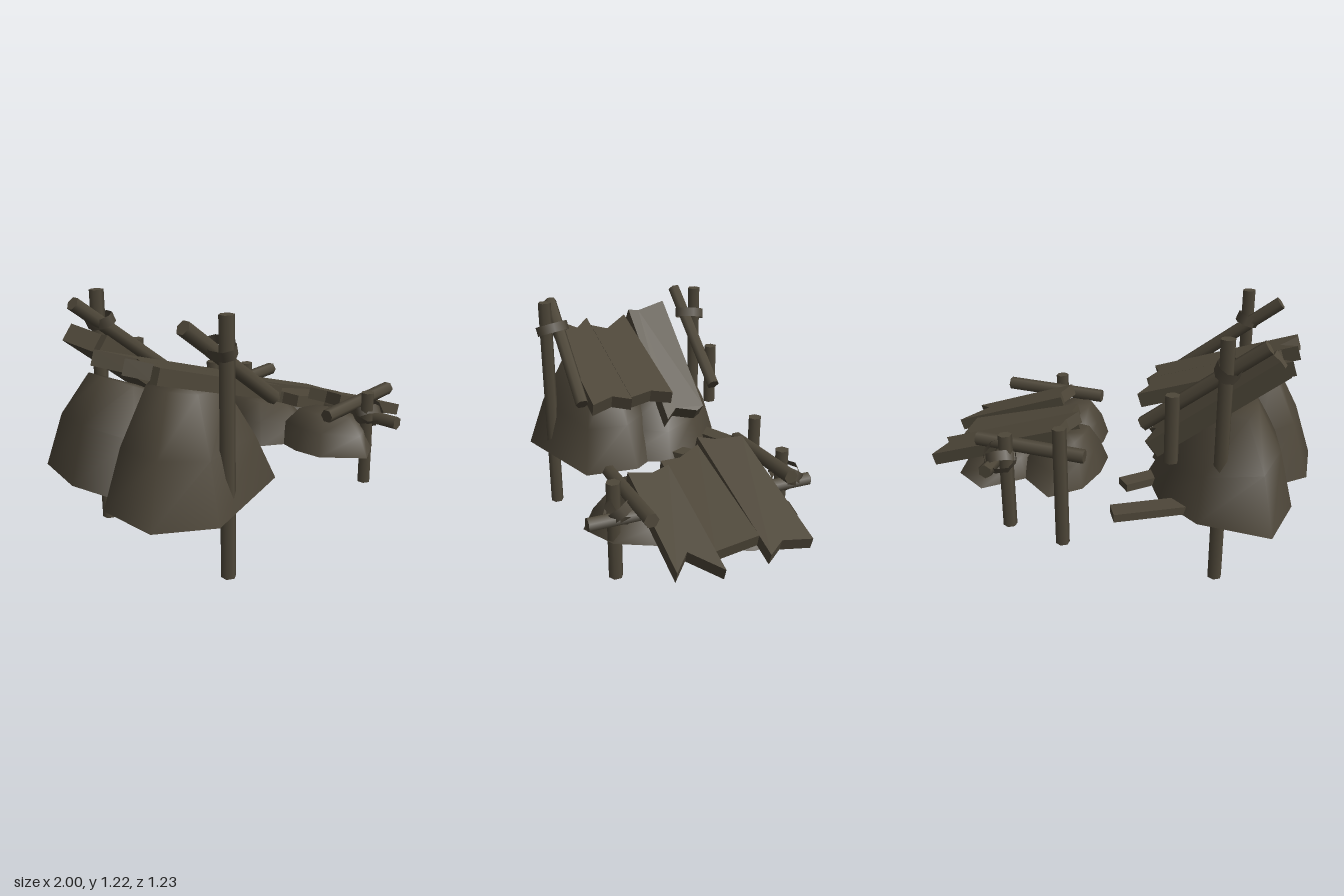
import * as THREE from 'three';

export function createModel() {
  const root = new THREE.Group();
  const wood = new THREE.MeshStandardMaterial({ color: 0x4e4739 });
  wood.name = 'weathered wood';
  const earth = new THREE.MeshStandardMaterial({ color: 0x4c4538, side: THREE.DoubleSide });
  earth.name = 'dry earth';
  const V = (p) => new THREE.Vector3(...p);

  function add(name, geometry, material = wood) {
    const mesh = new THREE.Mesh(geometry, material);
    mesh.name = name;
    root.add(mesh);
    return mesh;
  }

  // Six-sided timber between two points
  function log(name, a, b, r = 0.036) {
    const dir = V(b).sub(V(a));
    const mesh = add(name, new THREE.CylinderGeometry(r, r, dir.length(), 6));
    mesh.position.copy(V(a)).addScaledVector(dir, 0.5);
    mesh.quaternion.setFromUnitVectors(new THREE.Vector3(0, 1, 0), dir.normalize());
  }

  // Board with splintered ends: plan outline [x, z], sloping along x, ends cut square
  function plank(name, outline, x0, y0, slope, thick = 0.06) {
    const shape = new THREE.Shape(outline.map(([x, z]) => new THREE.Vector2(x, -z)));
    const g = new THREE.ExtrudeGeometry(shape, { depth: thick, bevelEnabled: false });
    g.rotateX(-Math.PI / 2);
    const p = g.attributes.position;
    for (let i = 0; i < p.count; i++) {
      const x = p.getX(i);
      const below = thick - p.getY(i);
      p.setXY(i, x + slope * below, y0 + slope * (x - x0) - below);
    }
    g.computeVertexNormals();
    add(name, g);
  }

  // Open faceted heap: base outline shrunk through rings, tilted at the top
  function mound(name, base, levels, tilt) {
    const n = base.length;
    const cx = base.reduce((s, p) => s + p[0], 0) / n;
    const cz = base.reduce((s, p) => s + p[1], 0) / n;
    const pos = [];
    const index = [];
    levels.forEach(([y, s], k) => {
      const t = (tilt * k) / (levels.length - 1);
      for (const [x, z] of base) {
        const px = cx + (x - cx) * s;
        pos.push(px, y + t * (px - cx), cz + (z - cz) * s);
      }
    });
    const top = levels.length - 1;
    pos.push(cx, levels[top][0] + 0.01, cz);
    for (let i = 0; i < n; i++) {
      const j = (i + 1) % n;
      for (let k = 0; k < top; k++) {
        const a = k * n + i, b = k * n + j;
        index.push(a, b, b + n, a, b + n, a + n);
      }
      index.push(top * n + i, top * n + j, (top + 1) * n);
    }
    const g = new THREE.BufferGeometry();
    g.setAttribute('position', new THREE.Float32BufferAttribute(pos, 3));
    g.setIndex(index);
    g.computeVertexNormals();
    add(name, g, earth);
  }

  // Flat strap wound around a post and a beam
  function lashing(name, at, rx, rz, tiltX, tiltZ) {
    const mesh = add(name, new THREE.CylinderGeometry(1, 1, 0.05, 8, 1, true), earth);
    mesh.scale.set(rx, 1, rz);
    mesh.rotation.set(tiltX, 0, tiltZ);
    mesh.position.set(...at);
  }

  // Loose board lying between two points
  function scrap(name, a, b, w, h) {
    const mesh = add(name, new THREE.BoxGeometry(w, h, V(a).distanceTo(V(b))));
    mesh.position.copy(V(a)).lerp(V(b), 0.5);
    mesh.lookAt(V(b));
  }

  // Earth heaps
  mound('tallFrontMound', [[-0.76, 0.57], [-0.2, 0.39], [-0.17, 0.1], [-0.32, -0.1], [-0.8, -0.1], [-1, 0.08], [-1, 0.4]],
    [[0.34, 1], [0.6, 0.77], [0.855, 0.45]], -0.18);
  mound('tallBackMound', [[-0.94, -0.25], [-0.87, 0.15], [-0.3, 0.18], [-0.18, -0.1], [-0.3, -0.35], [-0.52, -0.53], [-0.87, -0.57]],
    [[0.34, 1], [0.56, 0.8], [0.765, 0.48]], -0.45);
  mound('lowFrontMound', [[0.32, 0.57], [0.5, 0.48], [0.62, 0.25], [0.5, 0.02], [0.2, 0.05], [0.15, 0.23], [0.16, 0.38]],
    [[0.335, 1], [0.44, 0.82], [0.52, 0.55]], -0.15);
  mound('lowBackLeftMound', [[0.24, -0.46], [0.1, -0.33], [0.06, -0.13], [0.07, 0.05], [0.3, 0.2], [0.5, 0.05], [0.48, -0.25]],
    [[0.335, 1], [0.44, 0.8], [0.53, 0.55]], -0.2);
  mound('lowBackRightMound', [[0.45, 0.1], [0.7, 0.12], [0.81, -0.1], [0.78, -0.33], [0.6, -0.46], [0.42, -0.3], [0.38, -0.1]],
    [[0.335, 1], [0.42, 0.82], [0.475, 0.55]], -0.25);

  // Tall side: posts, sloping beams and straps
  for (const [side, zp, zb] of [['front', 0.465, 0.39], ['back', -0.43, -0.38]]) {
    log(side + 'TallPost', [-0.605, 0, zp], [-0.605, 1.22, zp]);
    log(side + 'SlopingBeam', [-0.78, 1.18, zb], [-0.22, 0.755, zb]);
    lashing(side + 'TallLashing', [-0.61, 1.07, (zp + zb) / 2], 0.06, 0.09, zp > 0 ? 0.15 : -0.15, 0.35);
  }
  log('brokenStub', [-0.37, 0.6, -0.43], [-0.37, 0.935, -0.43]);

  // Low side: posts, beams and straps
  log('frontLowPost', [0.465, 0.13, 0.46], [0.465, 0.64, 0.46]);
  log('backLowPost', [0.465, 0.13, -0.43], [0.465, 0.64, -0.43]);
  log('backInnerPost', [0.18, 0.065, -0.43], [0.18, 0.705, -0.43]);
  log('crossBeam', [0.53, 0.485, -0.55], [0.53, 0.485, 0.61]);
  log('frontLowBeam', [0.2, 0.555, 0.39], [0.765, 0.585, 0.39]);
  log('backLowBeam', [0.07, 0.545, -0.38], [0.64, 0.58, -0.38]);
  for (const s of [1, -1]) {
    lashing('lowLashing', [0.495, 0.52, 0.44 * s], 0.085, 0.085, 0.6 * s, 0.3);
    lashing('lowLashingCross', [0.495, 0.51, 0.44 * s], 0.075, 0.075, -0.6 * s, -0.3);
  }

  // Tall side planks
  plank('tallPlankFront', [[-0.88, 0.36], [-0.12, 0.36], [-0.165, 0.24], [-0.12, 0.145], [-0.89, 0.145], [-0.8, 0.23], [-0.88, 0.315]], -0.89, 1.03, -0.32, 0.07);
  plank('tallPlankMiddle', [[-0.81, 0.144], [-0.135, 0.144], [-0.165, 0.02], [-0.125, -0.09], [-0.88, -0.09], [-0.76, 0.06]], -0.89, 1.03, -0.32, 0.07);
  plank('tallPlankBack', [[-0.8, -0.091], [-0.19, -0.091], [-0.24, -0.16], [-0.21, -0.28], [-0.23, -0.325], [-0.83, -0.325], [-0.79, -0.15]], -0.83, 1.1, -0.78, 0.07);

  // Low side planks
  plank('lowPlankFront', [[0.37, 0.355], [0.96, 0.355], [0.87, 0.27], [1, 0.145], [0.37, 0.145], [0.4, 0.24]], 0.37, 0.625, -0.33);
  plank('lowPlankMiddle', [[0.27, 0.144], [0.89, 0.144], [0.86, -0.09], [0.2, -0.09], [0.27, 0.04]], 0.2, 0.615, -0.25);
  plank('lowPlankBack', [[0.19, -0.091], [0.97, -0.091], [0.91, -0.18], [0.94, -0.325], [0.24, -0.325], [0.23, -0.18]], 0.19, 0.655, -0.31);

  // Fallen boards between the two sides
  scrap('fallenBoardLong', [-0.45, 0.365, -0.41], [-0.12, 0.36, -0.57], 0.1, 0.04);
  scrap('fallenBoardShort', [-0.29, 0.365, -0.12], [-0.1, 0.36, -0.28], 0.09, 0.04);

  return root;
}
